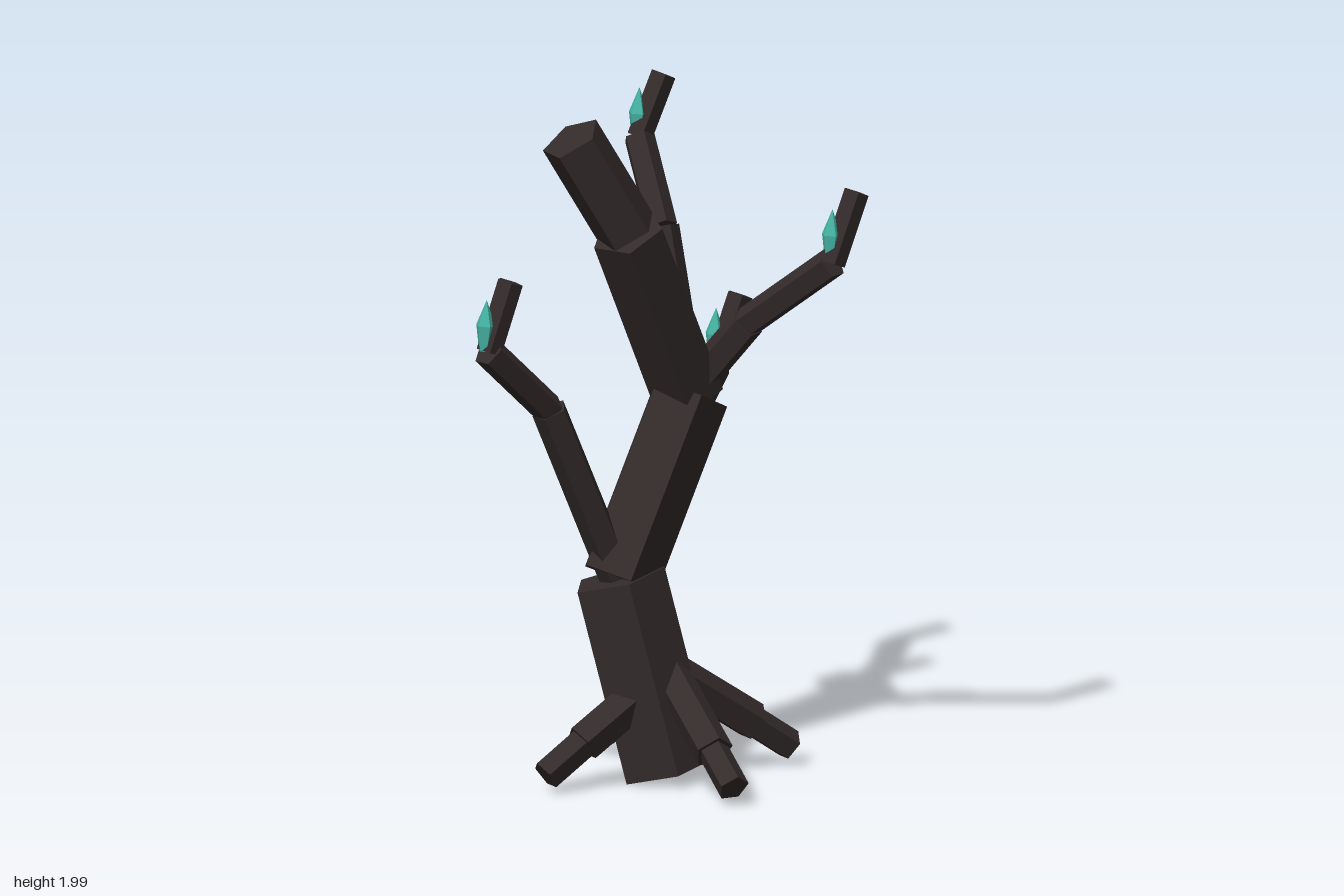
import * as THREE from 'three';

const bark = new THREE.MeshStandardMaterial({ color: 0x342b2b, flatShading: true });
bark.name = 'dark bark';
const crystalTeal = new THREE.MeshStandardMaterial({ color: 0x45b5a5, flatShading: true });
crystalTeal.name = 'crystal teal';
const veinTeal = new THREE.MeshStandardMaterial({ color: 0x2a9d8f, flatShading: true });
veinTeal.name = 'vein teal';

const V = (p) => new THREE.Vector3(...p);

// Prism from a to b, with one corner turned to its upper side
function limb(name, a, b, r0, r1 = r0, sides = 5, material = bark) {
  const start = V(a), end = V(b);
  const y = end.clone().sub(start);
  const length = y.length();
  y.normalize();
  const z = new THREE.Vector3(0, 1, 0).addScaledVector(y, -y.y).normalize();
  const x = new THREE.Vector3().crossVectors(y, z);
  const mesh = new THREE.Mesh(new THREE.CylinderGeometry(r1, r0, length, sides), material);
  mesh.quaternion.setFromRotationMatrix(new THREE.Matrix4().makeBasis(x, y, z));
  mesh.position.copy(start).add(end).multiplyScalar(0.5);
  mesh.name = name;
  return mesh;
}

// Chain of prisms through the points, one radius for each segment
function chain(name, points, radii) {
  const group = new THREE.Group();
  group.name = name;
  radii.forEach((r, i) => group.add(limb(name + 'Segment' + (i + 1), points[i], points[i + 1], r)));
  return group;
}

// Five-sided crystal with a tapered body and pointed top
function crystal(position) {
  const profile = [[0, 0], [0.016, 0], [0.029, 0.075], [0, 0.15]].map(([r, y]) => new THREE.Vector2(r, y));
  const mesh = new THREE.Mesh(new THREE.LatheGeometry(profile, 5), crystalTeal);
  mesh.position.set(...position);
  mesh.rotation.z = -0.06;
  mesh.name = 'crystal';
  return mesh;
}

// Slim glowing vein along the back of a branch's first segment
function vein(a, b) {
  const at = (t, back) => {
    const p = V(a).lerp(V(b), t);
    return [p.x, p.y, p.z - back];
  };
  const group = new THREE.Group();
  group.name = 'vein';
  group.add(limb('veinLower', at(0.04, 0.1), at(0.35, 0.082), 0.008, 0.012, 4, veinTeal));
  group.add(limb('veinUpper', at(0.35, 0.082), at(0.76, 0.056), 0.012, 0.003, 4, veinTeal));
  return group;
}

export function createModel() {
  const tree = new THREE.Group();
  tree.name = 'crystalTree';

  // Zigzag trunk
  const fork = [-0.045, 0.597, -0.06];
  const crown = [0.202, 1.112, -0.09];
  tree.add(chain('trunk', [
    [0.075, 0.033, 0.015], fork, crown, [-0.066, 1.642, 0.04], [-0.246, 1.934, 0.033],
  ], [0.14, 0.12, 0.108, 0.093]));

  // Four roots around the foot
  for (let i = 0; i < 4; i++) {
    const c = Math.cos(i * Math.PI / 2), s = Math.sin(i * Math.PI / 2);
    const at = (d, y) => [0.08 + c * d, y, 0.012 + s * d];
    tree.add(chain('root', [at(0, 0.325), at(0.28, 0.14), at(0.4, 0.058)], [0.059, 0.047]));
  }

  // Branches: start, two elbows, tip, crystal foot
  const branches = [
    ['rightBranch', fork, [-0.285, 1.125, -0.025], [-0.515, 1.335, 0.03], [-0.447, 1.535, 0.035], [-0.532, 1.34, 0.035]],
    ['leftFrontBranch', crown, [0.305, 1.338, 0.075], [0.437, 1.555, 0.345], [0.515, 1.758, 0.345], [0.43, 1.565, 0.345]],
    ['leftBackBranch', fork, [0.21, 0.9, -0.21], [0.435, 1.115, -0.35], [0.51, 1.312, -0.35], [0.427, 1.13, -0.355]],
    ['backBranch', crown, [0.195, 1.57, -0.24], [0.208, 1.8, -0.402], [0.287, 1.978, -0.402], [0.205, 1.795, -0.408]],
  ];
  for (const [name, start, elbow, wrist, tip, foot] of branches) {
    tree.add(chain(name, [start, elbow, wrist, tip], [0.053, 0.047, 0.039]));
    tree.add(vein(start, elbow), crystal(foot));
  }
  return tree;
}
